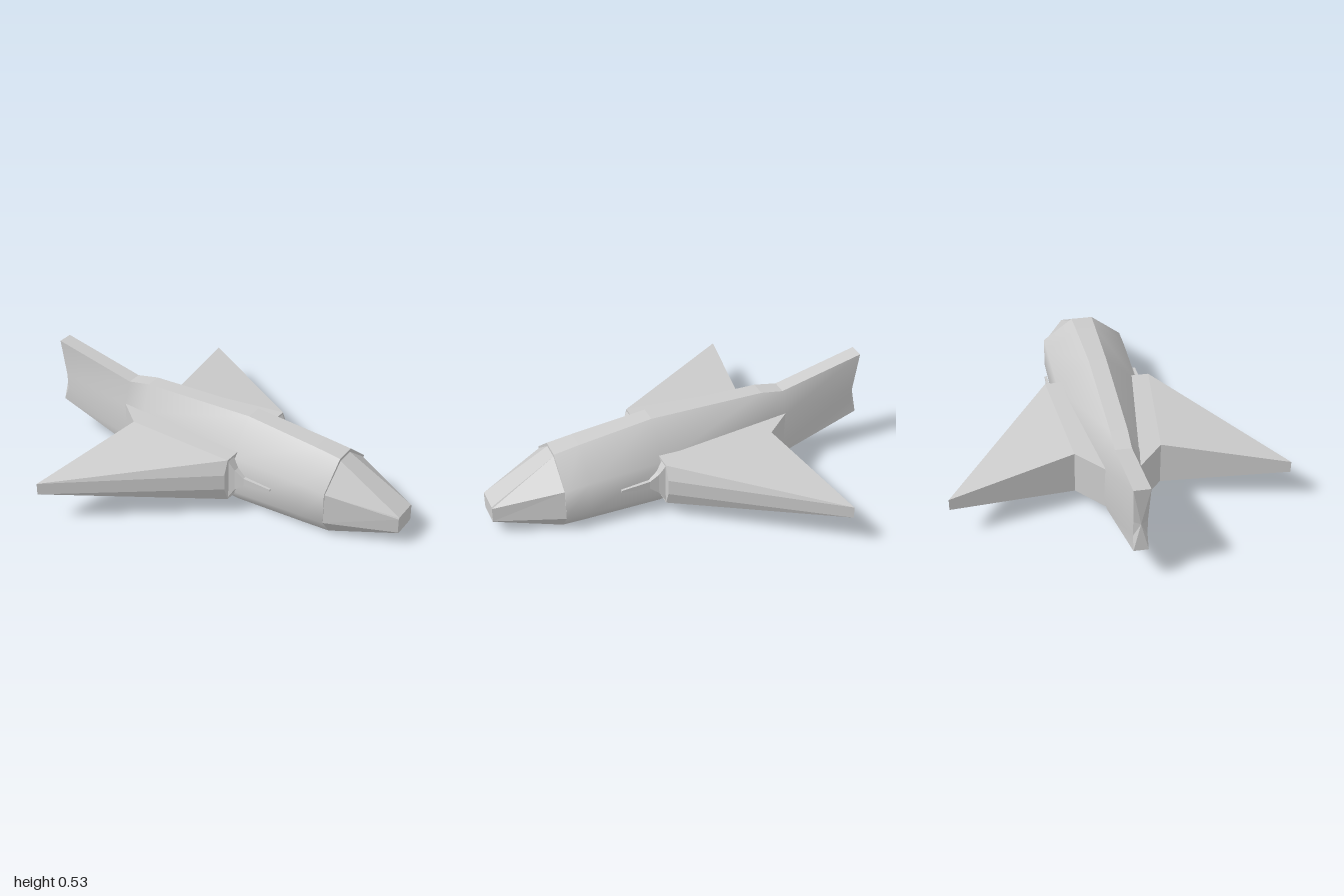
import * as THREE from 'three';
import { ConvexGeometry } from 'three/addons/geometries/ConvexGeometry.js';
import { mergeGeometries } from 'three/addons/utils/BufferGeometryUtils.js';

const smoothGrey = new THREE.MeshStandardMaterial({ color: 0xcccccc });
const flatGrey = new THREE.MeshStandardMaterial({ color: 0xcccccc, flatShading: true });

function toGeometry(points, index) {
  const g = new THREE.BufferGeometry();
  g.setAttribute('position', new THREE.Float32BufferAttribute(points.flat(), 3));
  g.setIndex(index);
  g.computeVertexNormals();
  return g;
}

// Surface through rows of points, rows ordered from back to front
function strip(rows) {
  const n = rows[0].length, index = [];
  for (let i = 0; i < rows.length - 1; i++) {
    for (let j = 0; j < n - 1; j++) {
      const a = i * n + j, b = a + n;
      index.push(a, b, b + 1, a, b + 1, a + 1);
    }
  }
  return toGeometry(rows.flat(), index);
}

// Fan that closes a ring at its front or back
function cap(ring, front) {
  const n = ring.length, index = [];
  const centre = [0, 1, 2].map(k => ring.reduce((s, p) => s + p[k], 0) / n);
  for (let j = 0; j < n; j++) {
    const k = (j + 1) % n;
    index.push(n, ...(front ? [k, j] : [j, k]));
  }
  return toGeometry([...ring, centre], index);
}

const flip = ([x, y, z]) => [x, y, -z];
const fullRing = half => [...half, ...half.map(flip).reverse()];
const closed = ring => [...ring, ring[0]];

function add(parent, name, geometry, material) {
  const mesh = new THREE.Mesh(geometry, material);
  mesh.name = name;
  parent.add(mesh);
  return mesh;
}

export function createModel() {
  const model = new THREE.Group();
  model.name = 'spacecraft';

  // Half sections of the hull, tail to cockpit: keel, lower side, upper side, spine
  const hull = [
    [[-1, 0.18, 0.035], [-0.975, 0.25, 0.033], [-0.975, 0.33, 0.033], [-1, 0.53, 0.04]],
    [[-0.56, 0.055, 0.075], [-0.56, 0.12, 0.09], [-0.56, 0.3, 0.085], [-0.56, 0.415, 0.04]],
    [[-0.44, 0.047, 0.085], [-0.44, 0.115, 0.11], [-0.44, 0.3, 0.104], [-0.44, 0.435, 0.042]],
    [[0.16, 0.005, 0.14], [0.16, 0.085, 0.205], [0.16, 0.28, 0.205], [0.16, 0.435, 0.045]],
    [[0.54, 0, 0.14], [0.54, 0.085, 0.208], [0.54, 0.26, 0.208], [0.54, 0.385, 0.052]],
    [[0.67, 0, 0.14], [0.67, 0.085, 0.208], [0.67, 0.245, 0.208], [0.67, 0.365, 0.055]],
  ];
  const fuselage = new THREE.Group();
  fuselage.name = 'fuselage';
  model.add(fuselage);
  add(fuselage, 'leftSide', strip(hull), smoothGrey);
  add(fuselage, 'rightSide', strip(hull.map(h => h.map(flip).reverse())), smoothGrey);
  add(fuselage, 'spine', strip(hull.map(h => [h[3], flip(h[3])])), flatGrey);
  add(fuselage, 'belly', strip(hull.map(h => [flip(h[0]), h[0]])), flatGrey);
  add(fuselage, 'tailEnd', cap(fullRing(hull[0]), false), flatGrey);
  add(fuselage, 'cockpitFrame', cap(fullRing(hull[5]), true), flatGrey);

  // Faceted nose with the canopy panes set slightly inside the frame
  const nose = [
    [[0.67, 0, 0.14], [0.67, 0.085, 0.208], [0.67, 0.24, 0.2], [0.67, 0.35, 0.048]],
    [[1, 0.062, 0.062], [1, 0.07, 0.07], [1, 0.145, 0.07], [1, 0.152, 0.065]],
  ].map(fullRing);
  add(model, 'nose', mergeGeometries([strip(nose.map(closed)), cap(nose[1], true)]), flatGrey);

  // Wings with thick roots and front spikes
  for (const [side, s] of [['left', 1], ['right', -1]]) {
    const wing = new THREE.Group();
    wing.name = side + 'Wing';
    model.add(wing);

    // Each outline entry: x, z, bottom, top
    const solid = outline => new ConvexGeometry(outline.flatMap(([x, z, low, high]) => [
      new THREE.Vector3(x, low, s * z), new THREE.Vector3(x, high, s * z),
    ]));
    add(wing, 'wingRoot', solid([
      [0.175, 0.09, 0.08, 0.305], [0.175, 0.21, 0.08, 0.305],
      [-0.42, 0.21, 0.08, 0.305], [-0.56, 0.085, 0.08, 0.305],
    ]), flatGrey);
    add(wing, 'wingBlade', solid([
      [0.175, 0.21, 0.08, 0.305], [0.175, 0.268, 0.08, 0.305],
      [0.175, 0.3, 0.155, 0.235], [-0.56, 0.823, 0.165, 0.225],
      [-0.42, 0.21, 0.08, 0.305],
    ]), flatGrey);

    // Spike stations: x, half height, half width
    const spike = [
      [0.17, 0.11, 0.028], [0.205, 0.055, 0.016], [0.25, 0.02, 0.009], [0.395, 0.005, 0.006],
    ].map(([x, h, w]) => fullRing([[x, -h, w], [x, h, w]]));
    const spikeMesh = add(wing, 'wingSpike',
      mergeGeometries([strip(spike.map(closed)), cap(spike[3], true)]), flatGrey);
    spikeMesh.position.set(0, 0.193, s * 0.237);
  }
  return model;
}
